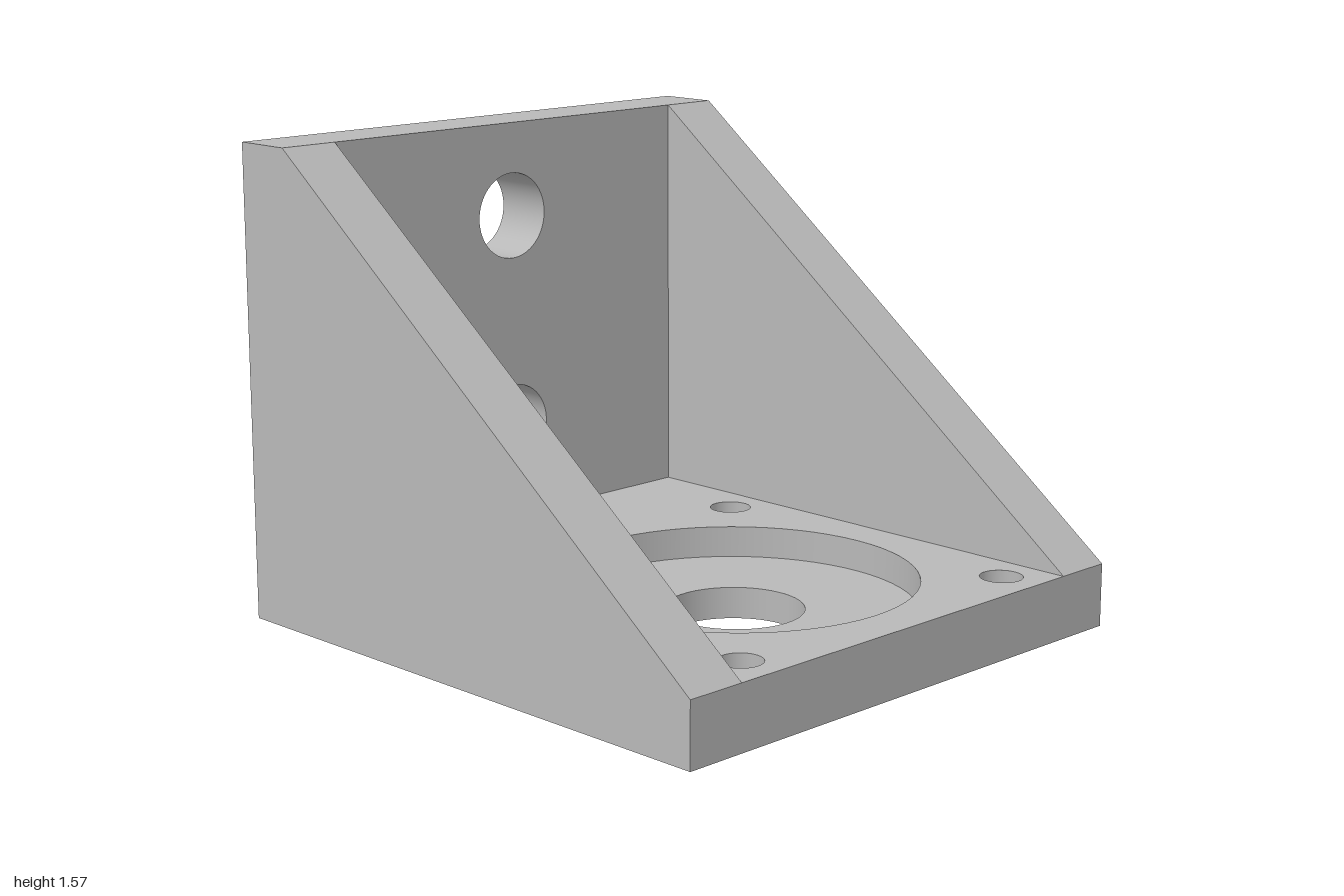
import * as THREE from 'three';

const W = 0.945, IN = 0.74, H = 1.57, T = 0.21, BACK = -0.79; // half widths, height, base thickness, wall front
const FLOOR = 0.105, CZ = 0.26;                             // recess floor height, bore centre
const SEG = 64;

const grey = new THREE.MeshStandardMaterial({ color: 0xb8b8b8, side: THREE.DoubleSide });
grey.name = 'plain grey';

// Flat face from corner points, with round holes given as [x, y, radius]
function face(points, holes = []) {
  const shape = new THREE.Shape(points.map(([x, y]) => new THREE.Vector2(x, y)));
  for (const [x, y, r] of holes) {
    shape.holes.push(new THREE.Path().absarc(x, y, r, 0, Math.PI * 2, true));
  }
  return new THREE.ShapeGeometry(shape, SEG / 2);
}
const rect = (x0, y0, x1, y1) => [[x0, y0], [x1, y0], [x1, y1], [x0, y1]];

// Round wall of a hole, standing between two heights
function bore(x, z, r, y0, y1) {
  return new THREE.CylinderGeometry(r, r, y1 - y0, SEG, 1, true).translate(x, (y0 + y1) / 2, z);
}

export function createModel() {
  const model = new THREE.Group();
  model.name = 'mountingBracket';
  const part = (name) => {
    const g = new THREE.Group();
    g.name = name;
    model.add(g);
    return (meshName, geometry) => {
      const m = new THREE.Mesh(geometry, grey);
      m.name = meshName;
      g.add(m);
    };
  };

  // Base plate with a round recess, centre bore and four screw holes
  const base = part('basePlate');
  const screws = [[-0.6, -0.34], [0.6, -0.34], [-0.6, 0.86], [0.6, 0.86]];
  const R = 0.59, r = 0.225, s = 0.07;
  base('underside', face(rect(-W, -1, W, 1), [[0, CZ, r], ...screws.map(([x, z]) => [x, z, s])])
    .rotateX(Math.PI / 2));
  base('topFace', face(rect(-IN, -1, IN, -BACK), [[0, -CZ, R], ...screws.map(([x, z]) => [x, -z, s])])
    .rotateX(-Math.PI / 2).translate(0, T, 0));
  base('recessFloor', new THREE.RingGeometry(r, R, SEG).rotateX(-Math.PI / 2).translate(0, FLOOR, CZ));
  base('recessWall', bore(0, CZ, R, FLOOR, T));
  base('centreBore', bore(0, CZ, r, 0, FLOOR));
  for (const [x, z] of screws) base('screwHole', bore(x, z, s, 0, T));
  base('frontEdge', face(rect(-W, 0, W, T)).translate(0, 0, 1));

  // Upright back wall with two bolt holes
  const wall = part('backWall');
  const bolts = [[0, 0.525, 0.145], [0, 1.255, 0.145]];
  wall('rearFace', face(rect(-W, 0, W, H), bolts).rotateY(Math.PI).translate(0, 0, -1));
  wall('innerFace', face(rect(-IN, T, IN, H), bolts).translate(0, 0, BACK));
  wall('topEdge', face(rect(-W, -BACK, W, 1)).rotateX(-Math.PI / 2).translate(0, H, 0));
  for (const [x, y, br] of bolts) {
    wall('boltHole', bore(0, 0, br, BACK, -1).rotateX(Math.PI / 2).translate(x, y, 0));
  }

  // Sloping side gussets, mirrored left and right
  const run = 1 - BACK, rise = H - T;
  for (const side of [1, -1]) {
    const gusset = part(side > 0 ? 'leftGusset' : 'rightGusset');
    const profile = (pts, dir, x) => face(pts.map(([z, y]) => [-dir * z, y]))
      .rotateY(dir * Math.PI / 2).translate(x, 0, 0);
    gusset('outerFace', profile([[1, 0], [1, T], [BACK, H], [-1, H], [-1, 0]], side, side * W));
    gusset('innerFace', profile([[1, T], [BACK, H], [BACK, T]], -side, side * IN));
    gusset('slope', new THREE.PlaneGeometry(W - IN, Math.hypot(run, rise))
      .rotateX(-Math.atan2(run, rise))
      .translate(side * (W + IN) / 2, (T + H) / 2, (1 + BACK) / 2));
  }
  return model;
}
